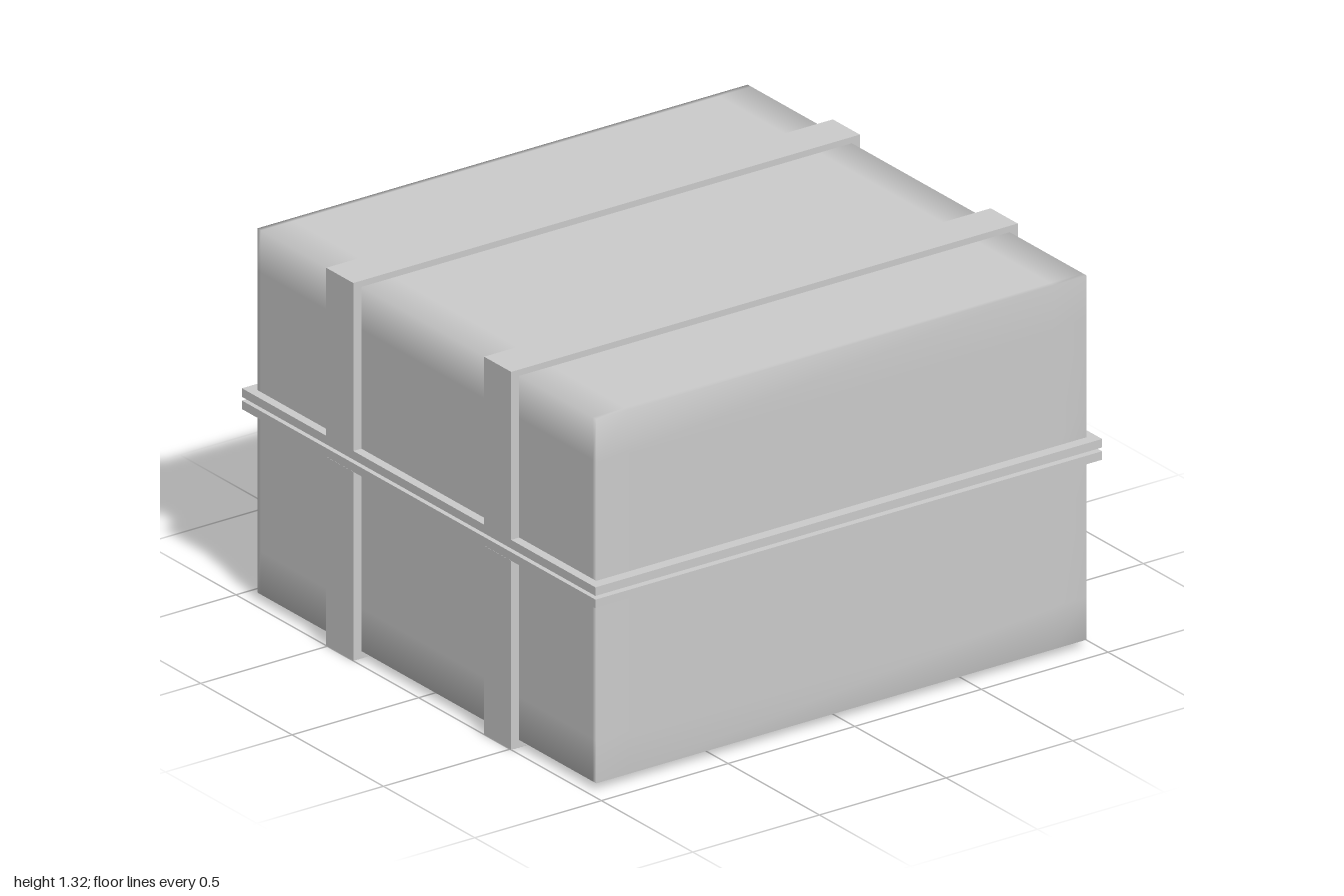
import * as THREE from 'three';
import { mergeVertices } from 'three/addons/utils/BufferGeometryUtils.js';

const material = new THREE.MeshStandardMaterial({ color: 0xcccccc, side: THREE.DoubleSide });
const SEAM = 0.7;

function addMesh(parent, name, geometry, x = 0, y = 0, z = 0) {
  const mesh = new THREE.Mesh(geometry, material);
  mesh.name = name;
  mesh.position.set(x, y, z);
  parent.add(mesh);
  return mesh;
}

// Square-edged shell, open on the seam side, with support loops that soften its shading.
function shellGeometry(w, h, d, inset, openFace) {
  let geo = new THREE.BoxGeometry(w, h, d, 3, 3, 3);
  const pos = geo.attributes.position;
  const place = (v, size, edge) =>
    Math.abs(v) > size * 0.4 ? v : Math.sign(v) * (size / 2 - edge);
  for (let i = 0; i < pos.count; i++) {
    pos.setXYZ(i,
      place(pos.getX(i), w, inset.x),
      place(pos.getY(i), h, inset.y),
      place(pos.getZ(i), d, inset.z));
  }
  const open = geo.groups[openFace];
  const index = Array.from(geo.index.array);
  index.splice(open.start, open.count);
  geo.setIndex(index);
  geo.clearGroups();
  geo.deleteAttribute('normal');
  geo.deleteAttribute('uv');
  geo = mergeVertices(geo);
  geo.computeVertexNormals();
  return geo;
}

// U-shaped strap section wrapping one half of the chest.
function strapGeometry(seamY, innerY, outerY, width) {
  const shape = new THREE.Shape([
    [-1, seamY], [-1, outerY], [1, outerY], [1, seamY],
    [0.965, seamY], [0.965, innerY], [-0.965, innerY], [-0.965, seamY],
  ].map(([x, y]) => new THREE.Vector2(x, y)));
  const geo = new THREE.ExtrudeGeometry(shape, { depth: width, bevelEnabled: false });
  return geo.translate(0, 0, -width / 2);
}

export function createModel() {
  const chest = new THREE.Group();
  chest.name = 'chest';
  const inset = new THREE.Vector3(0.13, 0.15, 0.02);

  // The two halves: outer = far face, rim = centre of the flange, open = box face at the seam
  const halves = [
    { name: 'base', shell: 0.026, outer: 0, rim: 0.6775, edge: 0.662, open: 2 },
    { name: 'lid', shell: 1.302, outer: 1.324, rim: 0.7205, edge: 0.735, open: 3 },
  ];
  for (const half of halves) {
    const group = new THREE.Group();
    group.name = half.name;
    chest.add(group);

    const h = Math.abs(half.shell - half.rim);
    addMesh(group, half.name + 'Shell', shellGeometry(1.936, h, 1.855, inset, half.open),
      0, (half.shell + half.rim) / 2, 0);
    addMesh(group, half.name + 'Rim', new THREE.BoxGeometry(2, 0.03, 1.935), 0, half.rim, 0);
    for (const side of [1, -1]) {
      addMesh(group, half.name + (side > 0 ? 'FrontStrap' : 'BackStrap'),
        strapGeometry(half.edge, half.shell, half.outer, 0.148), 0, 0, side * 0.432);
    }
  }

  // Recessed lip closing the gap between the rims
  addMesh(chest, 'innerLip', new THREE.BoxGeometry(1.86, 0.03, 1.76), 0, SEAM, 0);
  return chest;
}
